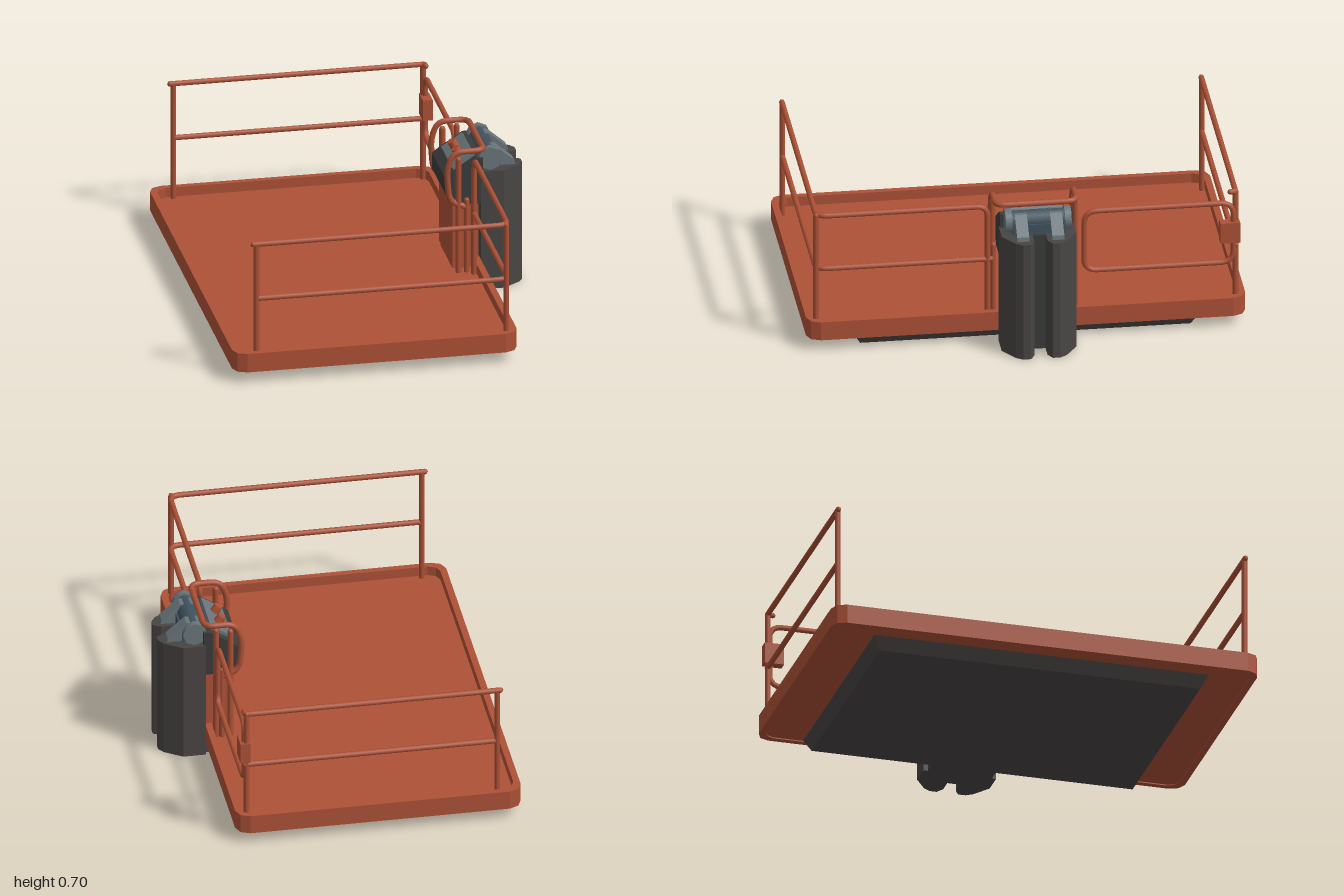
import * as THREE from 'three';

const mat = (name, color, side = THREE.FrontSide) => {
  const m = new THREE.MeshStandardMaterial({ color, side });
  m.name = name;
  return m;
};

export function createModel() {
  const root = new THREE.Group();
  root.name = 'guardedLiftPlatform';
  const orange = mat('rustOrange', 0xac5136);
  const charcoal = mat('charcoal', 0x484544);
  const dark = mat('darkGrey', 0x3a3b3b);
  const steel = mat('steelGrey', 0x69757a);
  const blue = mat('slateBlue', 0x3f525e);
  const mid = -0.04; // z centre of the mast and console

  const add = (name, geo, material, x = 0, y = 0, z = 0, parent = root) => {
    const m = new THREE.Mesh(geo, material);
    m.name = name;
    m.position.set(x, y, z);
    parent.add(m);
    return m;
  };
  const box = (name, material, w, h, d, x, y, z, parent) =>
    add(name, new THREE.BoxGeometry(w, h, d), material, x, y, z, parent);
  const poly = (pts) => new THREE.Shape(pts.map((p) => new THREE.Vector2(...p)));

  // Vertical prism from a plan outline, given as (x, -z)
  const prism = (shape, height) => new THREE.ExtrudeGeometry(shape, { depth: height, bevelEnabled: false }).rotateX(-Math.PI / 2);
  // Side profile in x, y extruded along z and centred on its depth
  const profile = (pts, depth) => new THREE.ExtrudeGeometry(poly(pts), { depth, bevelEnabled: false }).translate(0, 0, -depth / 2);

  // Chamfered rectangle in plan with two-step corners
  const outline = (x0, x1, z, c) => {
    const s = c * 0.3;
    return [
      [x0 + c, -z], [x1 - c, -z], [x1 - s, -z + s], [x1, -z + c],
      [x1, z - c], [x1 - s, z - s], [x1 - c, z], [x0 + c, z],
      [x0 + s, z - s], [x0, z - c], [x0, -z + c], [x0 + s, -z + s],
    ];
  };

  // Bent pipe through corner points, with rounded corners
  const pipe = (name, pts, { r = 0.013, bend = 0.05, closed = false, parent = root } = {}) => {
    const v = pts.map((p) => new THREE.Vector3(...p));
    const n = v.length;
    const path = new THREE.CurvePath();
    const toward = (a, b) => a.clone().add(b.clone().sub(a).setLength(Math.min(bend, a.distanceTo(b) * 0.45)));
    let from = closed ? toward(v[0], v[1]) : v[0];
    const first = from;
    for (let i = 1; i < (closed ? n + 1 : n - 1); i++) {
      const c = v[i % n];
      const a = toward(c, v[i - 1]);
      const b = toward(c, v[(i + 1) % n]);
      path.add(new THREE.LineCurve3(from, a));
      path.add(new THREE.QuadraticBezierCurve3(a, c, b));
      from = b;
    }
    if (!closed) path.add(new THREE.LineCurve3(from, v[n - 1]));
    else if (from.distanceTo(first) > 1e-4) path.add(new THREE.LineCurve3(from, first));
    const steps = n === 2 ? 1 : Math.ceil(path.getLength() / 0.018);
    add(name, new THREE.TubeGeometry(path, steps, r, 8, closed), orange, 0, 0, 0, parent);
    if (!closed) {
      for (const e of [v[0], v[n - 1]]) add(name + 'End', new THREE.SphereGeometry(r, 8, 4), orange, e.x, e.y, e.z, parent);
    }
  };

  // Deck: raised rim around a sunken floor
  const rim = poly(outline(-0.76, 0.55, 1, 0.06));
  rim.holes.push(poly(outline(-0.73, 0.52, 0.97, 0.05).reverse()));
  add('deckRim', prism(rim, 0.09), orange, 0, 0.055, 0);
  add('deckFloor', prism(poly(outline(-0.74, 0.53, 0.98, 0.05)), 0.04), orange, 0, 0.06, 0);

  // Undercarriage: block tapering toward the ground
  const base = new THREE.BoxGeometry(1.18, 0.062, 1.57);
  const bp = base.attributes.position;
  for (let i = 0; i < bp.count; i++) {
    if (bp.getY(i) < 0) {
      bp.setX(i, bp.getX(i) - Math.sign(bp.getX(i)) * 0.032);
      bp.setZ(i, bp.getZ(i) - Math.sign(bp.getZ(i)) * 0.032);
    }
  }
  const baseGeo = base.toNonIndexed();
  baseGeo.computeVertexNormals();
  add('undercarriage', baseGeo, charcoal, -0.07, 0.031, 0);
  box('mastFoot', charcoal, 0.12, 0.055, 0.3, 0.5, 0.0275, mid);

  // Mast: two chamfered columns with a slot between them
  const half = [[0.55, 0.17], [0.655, 0.17], [0.735, 0.115], [0.755, 0.085], [0.755, 0.05], [0.72, 0.03], [0.65, 0.03]];
  const mirrored = half.map(([x, w]) => [x, -w]).reverse();
  const mast = [...half, ...mirrored].map(([x, w]) => [x, w - mid]).reverse();
  add('mastColumns', prism(poly(mast), 0.575), charcoal);
  box('mastSlotLining', dark, 0.008, 0.57, 0.058, 0.652, 0.287, mid);

  // Mast head: drum with end caps and sloping brackets
  const drum = (name, r, len, material, z) =>
    add(name, new THREE.CylinderGeometry(r, r, len, 8).toNonIndexed().rotateX(Math.PI / 2), material, 0.597, 0.628, z);
  drum('headDrum', 0.046, 0.27, blue, mid);
  box('headBlock', blue, 0.1, 0.05, 0.24, 0.6, 0.598, mid);
  for (const s of [-1, 1]) {
    drum('drumCap', 0.056, 0.03, steel, mid + s * 0.135);
    add('headBracket', profile([[0.57, 0.57], [0.72, 0.57], [0.715, 0.595], [0.63, 0.668], [0.57, 0.668]], 0.055), steel, 0, 0, mid + s * 0.08);
  }

  // Control console on its pedestal
  box('pedestal', orange, 0.12, 0.34, 0.27, 0.485, 0.26, mid);
  add('consoleBody', profile([[0.39, 0.47], [0.425, 0.42], [0.56, 0.42], [0.56, 0.64], [0.53, 0.64], [0.425, 0.572], [0.39, 0.545]], 0.33), dark, 0, 0, mid);
  const panel = new THREE.Group();
  panel.name = 'controlPanel';
  panel.position.set(0.478, 0.612, mid);
  panel.rotation.z = Math.atan2(0.068, 0.105);
  root.add(panel);
  box('panelPlate', steel, 0.115, 0.02, 0.25, 0, 0, 0, panel);
  for (const z of [-0.045, 0.045]) add('knob', new THREE.CylinderGeometry(0.02, 0.023, 0.035, 10), orange, 0, 0.026, z, panel);

  // Console guard: a hoop each side, joined over the mast head
  const zl = mid + 0.185;
  const zr = mid - 0.185;
  const side = (z) => [[0.47, 0.42, z], [0.4, 0.45, z], [0.388, 0.6, z], [0.42, 0.688, z], [0.56, 0.688, z]];
  pipe('consoleGuard', [...side(zl), ...side(zr).reverse()], { r: 0.014, bend: 0.045 });
  for (const z of [zl, zr]) {
    pipe('guardPost', [[0.442, 0.1, z], [0.442, 0.65, z]], { r: 0.014 });
    pipe('guardBrace', [[0.48, 0.1, z], [0.48, 0.45, z]]);
  }

  // Fixed railings at both ends, one returning along the mast side
  const railX = 0.508;
  const railZ = 0.955;
  pipe('leftTopRail', [[-0.665, 0.66, railZ], [railX, 0.66, railZ], [railX, 0.66, 0.175], [railX, 0.1, 0.175]]);
  pipe('leftMiddleRail', [[-0.64, 0.395, railZ], [railX, 0.395, railZ], [railX, 0.395, 0.16]]);
  pipe('rightTopRail', [[-0.665, 0.66, -railZ], [railX, 0.66, -railZ], [railX, 0.66, -0.93]], { bend: 0.03 });
  pipe('rightMiddleRail', [[-0.64, 0.395, -railZ], [railX, 0.395, -railZ]]);
  for (const z of [-railZ, railZ]) {
    pipe('outerPost', [[-0.65, 0.08, z], [-0.65, 0.66, z]]);
    pipe('cornerPost', [[0.5, 0.08, z], [0.5, 0.66, z]]);
  }
  pipe('gatePost', [[railX, 0.08, -0.225], [railX, 0.66, -0.225]]);

  // Swing gate and its hinge block
  pipe('gateFrame', [[railX, 0.605, -0.6], [railX, 0.605, -0.945], [railX, 0.308, -0.945], [railX, 0.308, -0.265], [railX, 0.605, -0.265]],
    { closed: true, bend: 0.06 });
  box('gateHinge', orange, 0.045, 0.1, 0.09, railX, 0.462, -0.928);

  return root;
}
